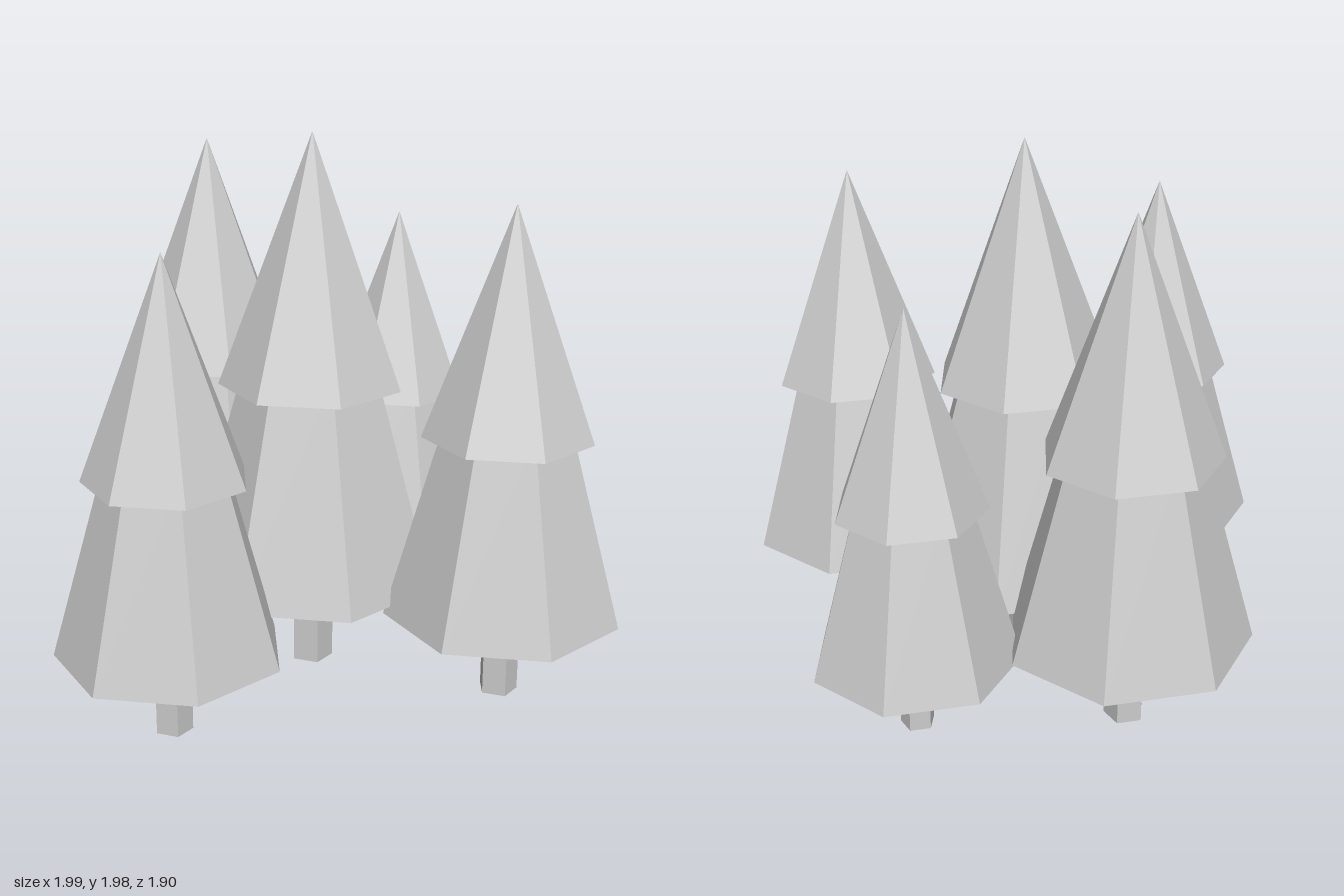
import * as THREE from 'three';

const grey = new THREE.MeshStandardMaterial({ color: 0xcccccc, flatShading: true });
grey.name = 'plain grey';

// Tapered prism standing between heights y0 and y1
function tier(name, rBottom, rTop, y0, y1, sides) {
  const geometry = rTop > 0
    ? new THREE.CylinderGeometry(rTop, rBottom, y1 - y0, sides)
    : new THREE.ConeGeometry(rBottom, y1 - y0, sides);
  const mesh = new THREE.Mesh(geometry, grey);
  mesh.name = name;
  mesh.position.y = (y0 + y1) / 2;
  return mesh;
}

// Conifer of the given height; every part scales with it
function tree(name, x, z, h) {
  const group = new THREE.Group();
  group.name = name;
  group.position.set(x, 0, z);
  group.add(
    tier('trunk', 0.04 * h, 0.04 * h, 0, 0.18 * h, 5),
    tier('lowerFoliage', 0.2375 * h, 0.122 * h, 0.175 * h, 0.585 * h, 7),
    tier('upperFoliage', 0.17 * h, 0, 0.547 * h, h, 7),
  );
  return group;
}

export function createModel() {
  const model = new THREE.Group();
  model.name = 'coniferGrove';
  model.add(
    tree('centreTree', 0.013, 0.073, 1.98),
    tree('backTree', -0.212, -0.55, 1.88),
    tree('backLeftTree', 0.525, -0.437, 1.58),
    tree('frontRightTree', -0.607, 0.47, 1.68),
    tree('frontLeftTree', 0.582, 0.525, 1.78),
  );
  return model;
}
